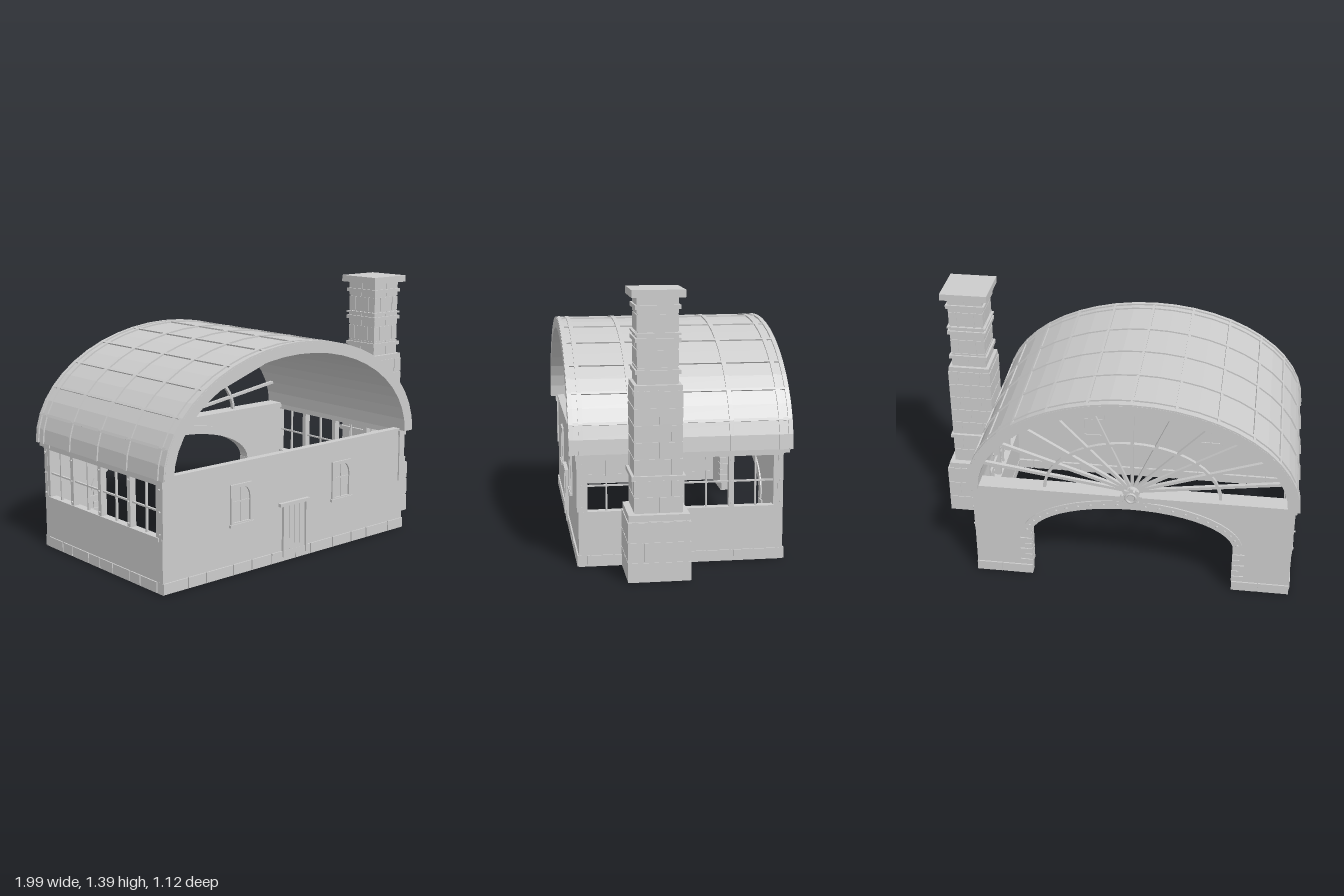
import * as THREE from 'three';

const stone = new THREE.MeshStandardMaterial({ color: 0xcccccc });
stone.name = 'pale grey stone';

const W = 0.845, D = 0.515; // half width and half depth of the hall

function add(parent, name, geo, x = 0, y = 0, z = 0) {
  const m = new THREE.Mesh(geo, stone);
  m.name = name;
  m.position.set(x, y, z);
  parent.add(m);
  return m;
}

// box given by its lower and upper limits
function block(parent, name, x0, x1, y0, y1, z0, z1) {
  return add(parent, name, new THREE.BoxGeometry(x1 - x0, y1 - y0, z1 - z0),
    (x0 + x1) / 2, (y0 + y1) / 2, (z0 + z1) / 2);
}

function group(parent, name) {
  const g = new THREE.Group();
  g.name = name;
  parent.add(g);
  return g;
}

// points along the upper half of an ellipse, from +x to -x
function arc(rx, ry, y, n) {
  return Array.from({ length: n + 1 }, (_, i) => {
    const a = Math.PI * i / n;
    return new THREE.Vector2(rx * Math.cos(a), y + ry * Math.sin(a));
  });
}

function slab(points, depth, hole) {
  const s = new THREE.Shape(points);
  if (hole) s.holes.push(new THREE.Path(hole));
  return new THREE.ExtrudeGeometry(s, { depth, bevelEnabled: false });
}

function archBand(rx, ry, t, y, depth, n = 24) {
  return slab([...arc(rx, ry, y, n), ...arc(rx - t, ry - t, y, n).reverse()], depth);
}

// stud with its axis along z or x
function stud(parent, x, y, z, r, axis) {
  const m = add(parent, 'stud', new THREE.CylinderGeometry(r, r, 0.014, 8), x, y, z);
  if (axis === 'x') m.rotation.z = Math.PI / 2; else m.rotation.x = Math.PI / 2;
}

function buildRoof(hall) {
  const roof = group(hall, 'roof');
  const rx = 0.86, ry = 0.57, y = 0.57;
  add(roof, 'roofShell', archBand(rx, ry, 0.055, y, 1.12), 0, 0, -0.56);
  for (const z of [-0.548, -0.5, -0.25, 0, 0.25, 0.5, 0.548])
    add(roof, 'roofHoop', archBand(rx + 0.008, ry + 0.008, 0.016, y, 0.022), 0, 0, z - 0.011);
  for (let i = 1; i < 12; i++) {
    const a = Math.PI * i / 12;
    const p = add(roof, 'roofPurlin', new THREE.BoxGeometry(0.014, 0.014, 1.11),
      rx * Math.cos(a), y + ry * Math.sin(a), 0);
    p.rotation.z = Math.atan2(Math.sin(a) / ry, Math.cos(a) / rx);
  }
}

function buildFan(hall) {
  const fan = group(hall, 'fanWindow');
  const y = 0.57, z = -0.5;
  for (let i = 1; i < 12; i++) {
    const a = Math.PI * i / 12, ex = 0.81 * Math.cos(a), ey = 0.52 * Math.sin(a) - 0.02;
    const bar = add(fan, 'fanSpoke', new THREE.BoxGeometry(Math.hypot(ex, ey), 0.016, 0.02),
      ex / 2, y + 0.02 + ey / 2, z);
    bar.rotation.z = Math.atan2(ey, ex);
  }
  add(fan, 'fanInnerArch', archBand(0.468, 0.315, 0.015, y, 0.02), 0, 0, z - 0.01);
  // rosette at the foot of the fan
  const hub = add(fan, 'fanHub', new THREE.CylinderGeometry(0.042, 0.042, 0.06, 16), 0, y + 0.012, -0.525);
  hub.rotation.x = Math.PI / 2;
  add(fan, 'fanHubRing', new THREE.TorusGeometry(0.026, 0.007, 6, 16), 0, y + 0.012, -0.556);
  for (let i = 0; i < 8; i++) {
    const a = Math.PI * i / 4;
    stud(fan, 0.045 * Math.cos(a), y + 0.012 + 0.045 * Math.sin(a), -0.548, 0.012, 'z');
  }
}

function buildBackWall(hall) {
  const wall = group(hall, 'backWall');
  const rx = 0.545, ry = 0.22, spring = 0.27, V = (x, y) => new THREE.Vector2(x, y);
  add(wall, 'archedWall', slab([V(W, 0), V(W, 0.56), V(-W, 0.56), V(-W, 0), V(-rx, 0),
    ...arc(rx, ry, spring, 24).reverse(), V(rx, 0)], 0.05), 0, 0, -D);
  add(wall, 'archTrim', archBand(rx + 0.045, ry + 0.045, 0.05, spring, 0.065), 0, 0, -D - 0.008);
  for (let i = 1; i < 24; i++) {
    const a = Math.PI * i / 24;
    stud(wall, (rx + 0.02) * Math.cos(a), spring + (ry + 0.02) * Math.sin(a), -D - 0.01, 0.008, 'z');
  }
  // alternating long and short jamb stones
  for (const s of [-1, 1]) for (let i = 0; i < 6; i++) {
    const w = i % 2 ? 0.04 : 0.065, x0 = rx - 0.008;
    const y = 0.065 + i * 0.036;
    block(wall, 'jambStone', Math.min(s * x0, s * (x0 + w)), Math.max(s * x0, s * (x0 + w)),
      y, y + 0.032, -D - 0.008, -D + 0.058);
  }
  block(wall, 'backBeam', -W - 0.01, W + 0.01, 0.55, 0.58, -0.545, -0.45);
}

function buildSides(hall) {
  for (const s of [-1, 1]) {
    const side = group(hall, s > 0 ? 'leftSide' : 'rightSide');
    const x = s * (W - 0.015);
    const bar = (name, t, y0, y1, z0, z1) => block(side, name, x - t / 2, x + t / 2, y0, y1, z0, z1);
    bar('lowWall', 0.03, 0, 0.27, -D, D);
    bar('windowSill', 0.045, 0.262, 0.282, -0.47, 0.49);
    bar('eavesBeam', 0.04, 0.54, 0.575, -D, D);
    for (const z of [-0.5, -0.25, 0, 0.25, 0.5]) {
      bar('windowPost', 0.034, 0.27, 0.55, z - 0.013, z + 0.013);
      for (const y of [0.3, 0.41, 0.52]) stud(side, s * (W + 0.002), y, z, 0.006, 'x');
    }
    for (const z of [-0.375, -0.125, 0.125, 0.375]) bar('mullion', 0.012, 0.27, 0.55, z - 0.004, z + 0.004);
    bar('windowCrossbar', 0.012, 0.405, 0.413, -0.5, 0.5);
    // front corner strip and its cap
    const c = s * (W - 0.018);
    block(side, 'cornerStrip', c - 0.02, c + 0.02, 0.28, 0.55, 0.47, D + 0.008);
    block(side, 'cornerCap', c - 0.026, c + 0.026, 0.54, 0.567, 0.46, D + 0.014);
  }
}

function buildFront(hall) {
  const front = group(hall, 'frontWall');
  block(front, 'wall', -W, W, 0, 0.57, D - 0.03, D);
  block(front, 'wallCoping', -W + 0.01, W - 0.01, 0.567, 0.58, D - 0.036, D + 0.006);
  // plank door
  for (let i = 0; i < 4; i++) {
    const x = -0.061 + i * 0.036;
    block(front, 'doorPlank', x, x + 0.033, 0.03, 0.3, D - 0.01, D + 0.007);
  }
  for (const x of [-0.075, 0.084])
    block(front, 'doorJamb', x, x + 0.013, 0.025, 0.3, D - 0.01, D + 0.015);
  block(front, 'doorLintel', -0.1, 0.106, 0.298, 0.316, D - 0.01, D + 0.02);
  // arched windows, shown on both faces of the wall
  for (const x of [-0.355, 0.352]) {
    const win = group(front, 'window');
    win.position.x = x;
    const V = (a, b) => new THREE.Vector2(a, b);
    const hole = [V(-0.055, 0.275), V(0.055, 0.275), ...arc(0.055, 0.058, 0.4, 12)];
    add(win, 'windowFrame', slab([V(-0.07, 0.26), V(0.07, 0.26), V(0.07, 0.47), V(-0.07, 0.47)],
      0.046, hole), 0, 0, D - 0.036);
    block(win, 'windowMullion', -0.004, 0.004, 0.27, 0.45, D - 0.033, D + 0.004);
    block(win, 'windowCrossbar', -0.055, 0.055, 0.375, 0.383, D - 0.033, D + 0.004);
    block(win, 'windowSill', -0.078, 0.078, 0.254, 0.268, D - 0.01, D + 0.016);
  }
}

// row of base stones of uneven length along x or z
function stoneRow(parent, axis, from, to, c, n) {
  const len = (to - from) / n;
  const edge = i => from + i * len + (i > 0 && i < n ? 0.018 * Math.sin(i * 2.4) : 0);
  for (let i = 0; i < n; i++) {
    const a = edge(i) + 0.003, b = edge(i + 1) - 0.003;
    if (axis === 'x') block(parent, 'baseStone', a, b, 0.004, 0.058, c - 0.026, c + 0.026);
    else block(parent, 'baseStone', c - 0.02, c + 0.02, 0.004, 0.058, a, b);
  }
}

function buildPlinth(hall) {
  const plinth = group(hall, 'plinth');
  stoneRow(plinth, 'x', -W - 0.004, W + 0.004, D - 0.018, 12);
  for (const s of [-1, 1]) {
    stoneRow(plinth, 'z', -D + 0.035, D - 0.04, s * (W - 0.013), 8);
    stoneRow(plinth, 'x', s > 0 ? 0.537 : -W - 0.004, s > 0 ? W + 0.004 : -0.537, -D + 0.018, 2);
  }
}

function buildChimney(root) {
  const chimney = group(root, 'chimney');
  const cz = 0.15;
  // courses of blocks laid around a slightly smaller core
  function masonry(cx, w, d, y0, y1, courses, shift = 0) {
    block(chimney, 'chimneyCore', cx - w / 2 + 0.007, cx + w / 2 - 0.007, y0, y1,
      cz - d / 2 + 0.007, cz + d / 2 - 0.007);
    const h = (y1 - y0) / courses;
    for (let i = 0; i < courses; i++) {
      const cuts = (i + shift) % 2 ? [0, 0.25, 0.75, 1] : [0, 0.5, 1];
      for (let a = 1; a < cuts.length; a++) for (let b = 1; b < cuts.length; b++)
        block(chimney, 'chimneyBlock',
          cx + (cuts[a - 1] - 0.5) * w + 0.003, cx + (cuts[a] - 0.5) * w - 0.003,
          y0 + i * h + 0.003, y0 + (i + 1) * h - 0.003,
          cz + (cuts[b - 1] - 0.5) * d + 0.003, cz + (cuts[b] - 0.5) * d - 0.003);
    }
  }
  const band = (cx, w, d, y0, y1) =>
    block(chimney, 'chimneyBand', cx - w / 2, cx + w / 2, y0, y1, cz - d / 2, cz + d / 2);

  masonry(0.855, 0.29, 0.31, 0, 0.297, 3);
  band(0.85, 0.27, 0.295, 0.297, 0.328);
  masonry(0.84, 0.24, 0.24, 0.328, 0.49, 2);
  band(0.84, 0.255, 0.26, 0.49, 0.512);
  masonry(0.84, 0.24, 0.24, 0.512, 0.92, 5, 1);
  band(0.84, 0.225, 0.23, 0.92, 0.945);
  masonry(0.84, 0.195, 0.205, 0.945, 1.36, 5);
  for (const [y0, y1] of [[0.995, 1.015], [1.145, 1.165], [1.18, 1.19], [1.3, 1.32]])
    band(0.84, 0.212, 0.218, y0, y1);
  band(0.84, 0.255, 0.255, 1.357, 1.393);
}

export function createModel() {
  const root = new THREE.Group();
  root.name = 'vaultedHall';
  const hall = group(root, 'hall');
  hall.position.x = -0.13;
  buildRoof(hall);
  buildFan(hall);
  buildBackWall(hall);
  buildSides(hall);
  buildFront(hall);
  buildPlinth(hall);
  buildChimney(root);
  return root;
}
